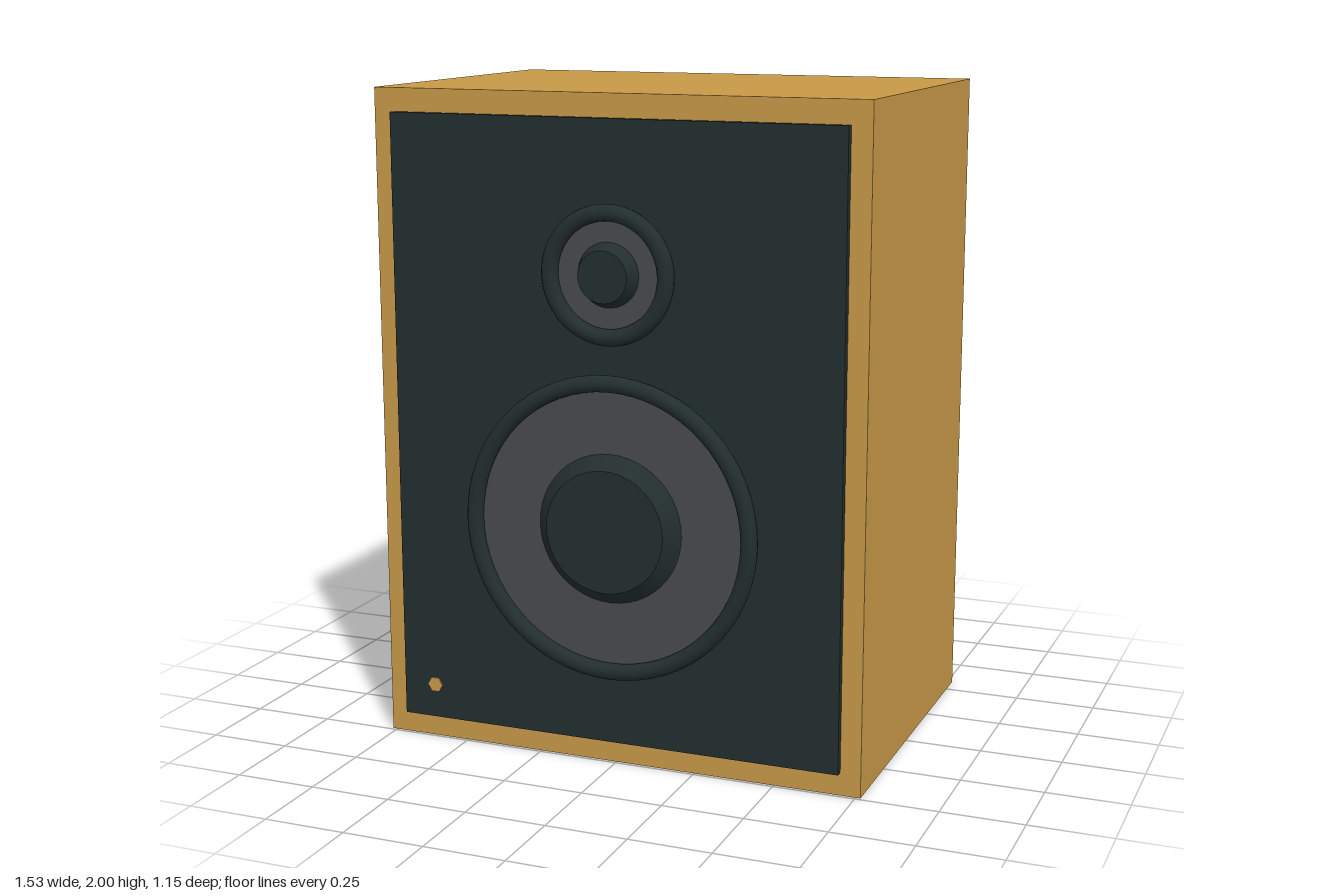
import * as THREE from 'three';

const mat = (name, color) => {
  const m = new THREE.MeshStandardMaterial({ color });
  m.name = name;
  return m;
};

export function createModel() {
  const wood = mat('wood', 0xc79847);
  const black = mat('black', 0x232e2e);
  const grey = mat('coneGrey', 0x48494e);
  const model = new THREE.Group();
  model.name = 'speaker';

  const add = (parent, name, geometry, material, x, y, z) => {
    const mesh = new THREE.Mesh(geometry, material);
    mesh.name = name;
    mesh.position.set(x, y, z);
    parent.add(mesh);
    return mesh;
  };
  // Cylinder or frustum lying along z, with its narrow end to the front
  const disc = (rFront, rBack, depth, sides) =>
    new THREE.CylinderGeometry(rFront, rBack, depth, sides).rotateX(Math.PI / 2);

  // Wooden cabinet and raised front panel
  add(model, 'cabinet', new THREE.BoxGeometry(1.53, 2, 1.066), wood, 0, 1, -0.042);
  add(model, 'frontPanel', new THREE.BoxGeometry(1.406, 1.86, 0.03), black, 0, 1, 0.499);

  // Each driver: round surround, flat cone and tapered centre cap
  const driver = (name, y, ring, capFront, capBack) => {
    const group = new THREE.Group();
    group.name = name;
    group.position.y = y;
    add(group, 'surround', new THREE.TorusGeometry(ring, 0.025, 16, 64), black, 0, 0, 0.537);
    add(group, 'cone', disc(ring, ring, 0.02, 64), grey, 0, 0, 0.52);
    add(group, 'centreCap', disc(capFront, capBack, 0.045, 48), black, 0, 0, 0.5525);
    model.add(group);
  };
  driver('woofer', 0.737, 0.435, 0.184, 0.225);
  driver('tweeter', 1.487, 0.18, 0.076, 0.095);

  // Small six-sided indicator in the lower corner
  add(model, 'indicator', disc(0.025, 0.025, 0.008, 6).rotateZ(Math.PI / 2), wood, -0.598, 0.175, 0.514);

  return model;
}
